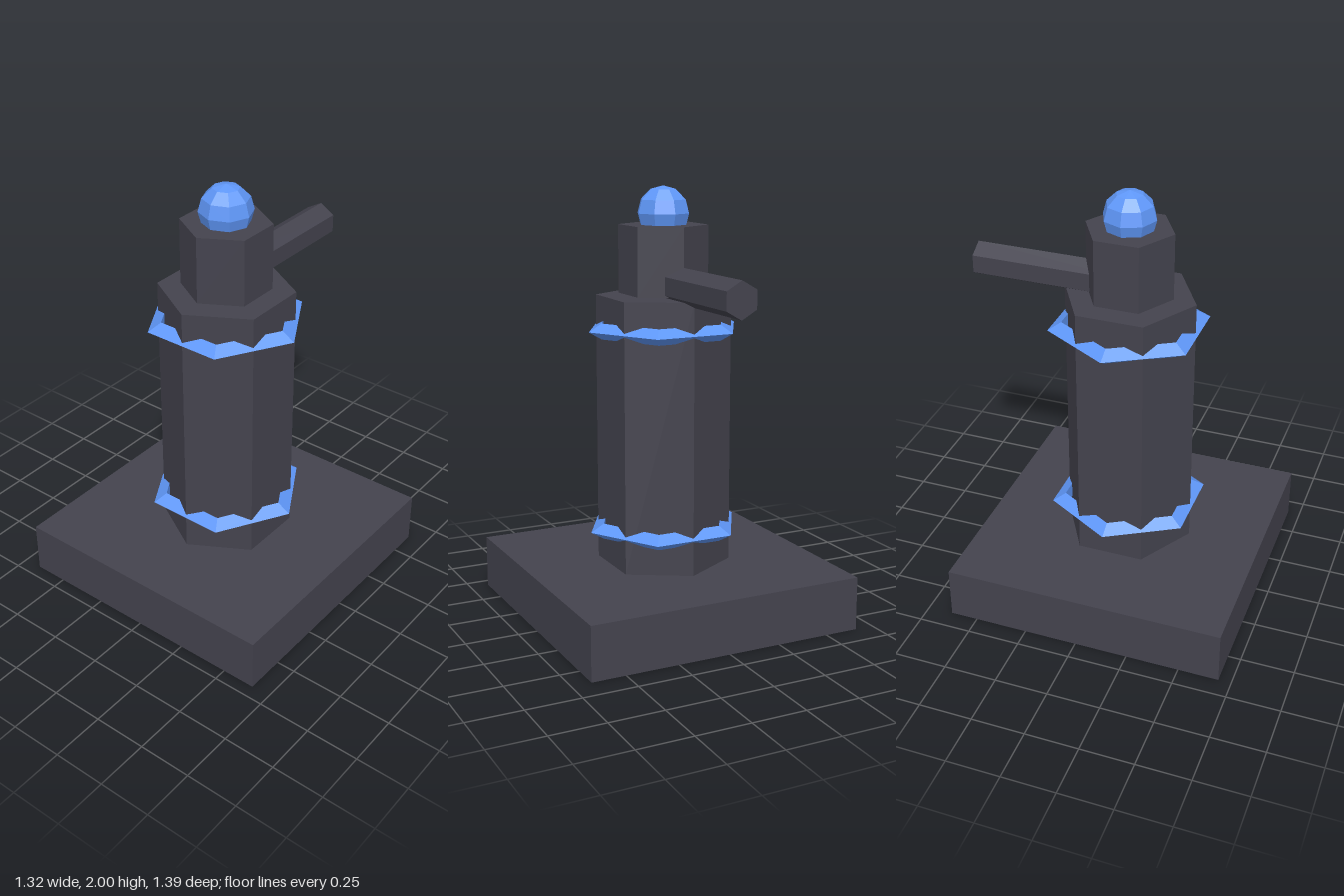
import * as THREE from 'three';

export function createModel() {
  const model = new THREE.Group();
  model.name = 'turret';
  const dark = new THREE.MeshStandardMaterial({ color: 0x44434e, flatShading: true });
  const blue = new THREE.MeshStandardMaterial({ color: 0x5f97f8, flatShading: true });
  const axisZ = 0.03; // the tower stands slightly forward of centre

  function add(name, geometry, material, y, z = axisZ) {
    const mesh = new THREE.Mesh(geometry, material);
    mesh.name = name;
    mesh.position.set(0, y, z);
    model.add(mesh);
    return mesh;
  }
  const hexPrism = (radius, length) => new THREE.CylinderGeometry(radius, radius, length, 6);

  // Square plinth
  add('base', new THREE.BoxGeometry(1.32, 0.25, 1.32), dark, 0.125);

  // Hexagonal column and the smaller head just above it
  add('column', hexPrism(0.31, 1.255), dark, 0.8775);
  add('head', hexPrism(0.205, 0.312), dark, 1.67);

  // Barrel runs from inside the head out to the back
  const barrel = hexPrism(0.083, 0.835).rotateX(-Math.PI / 2);
  add('barrel', barrel, dark, 1.565, -0.278);

  // Triangular-section hexagonal bands, corners pointing to the sides
  [['lowerRing', 0.42], ['upperRing', 1.357]].forEach(([name, y]) => {
    add(name, new THREE.TorusGeometry(0.33, 0.042, 3, 6).rotateX(Math.PI / 2), blue, y);
  });

  // Faceted orb on top
  add('orb', new THREE.SphereGeometry(0.123, 8, 6), blue, 1.877);

  return model;
}
